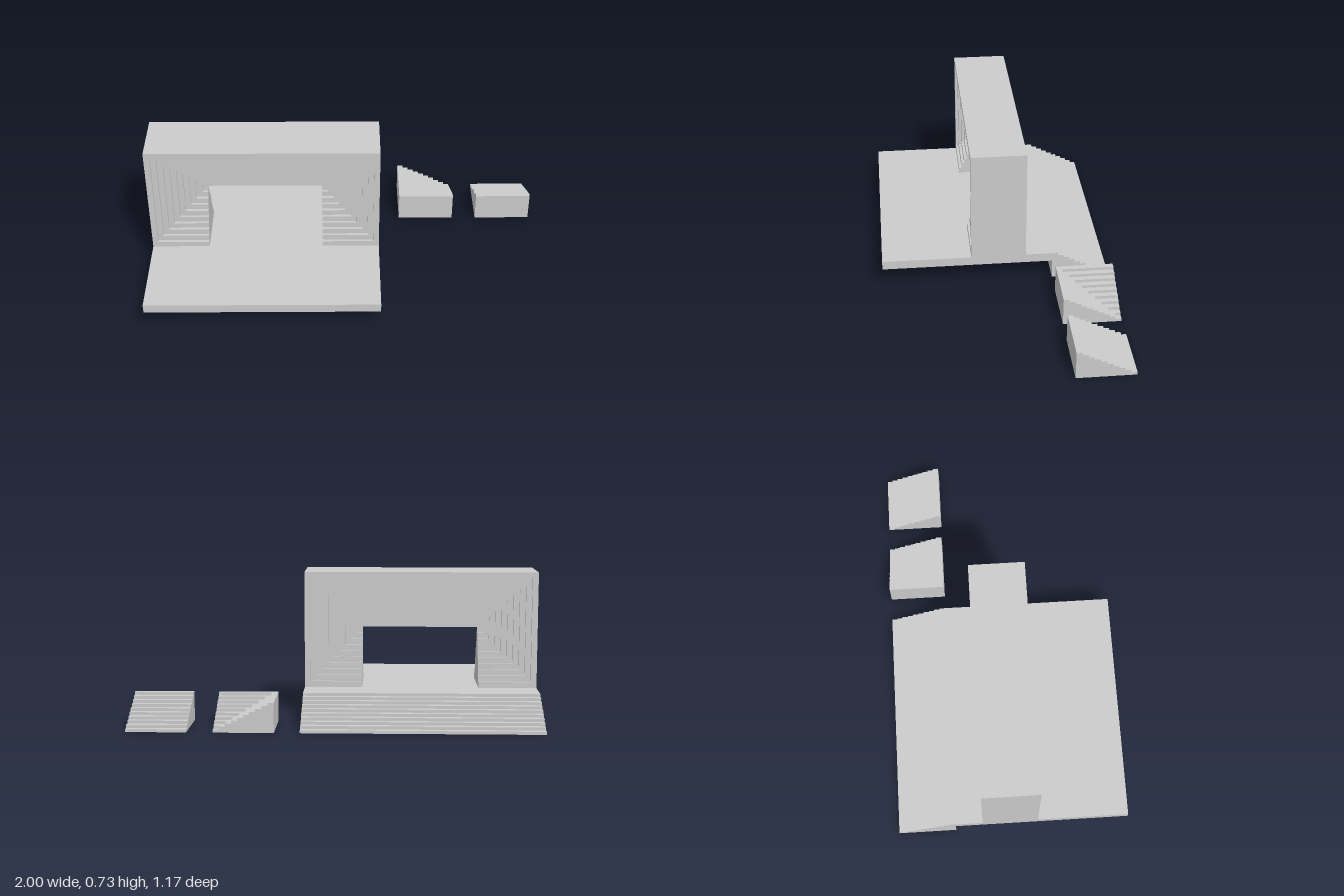
import * as THREE from 'three';

const S = 0.2917;          // module size
const N = 10;              // steps per module
const H = S / 2;           // stair height
const T = S / N;           // tread depth
const R = H / N;           // riser height
const material = new THREE.MeshStandardMaterial({ color: 0xcccccc, flatShading: true });
const shell = new THREE.MeshStandardMaterial({ color: 0xcccccc, flatShading: true, side: THREE.DoubleSide });

// Thin quads collected into one mesh; corners run counter-clockwise from outside
function quadMesh(name, build) {
  const pos = [];
  build((a, b, c, d) => pos.push(...a, ...b, ...c, ...a, ...c, ...d));
  const g = new THREE.BufferGeometry();
  g.setAttribute('position', new THREE.Float32BufferAttribute(pos, 3));
  g.computeVertexNormals();
  const mesh = new THREE.Mesh(g, shell);
  mesh.name = name;
  return mesh;
}

// Quads facing up, +x / -x and +z / -z
const flat = (q, x0, x1, z0, z1, y) => q([x0, y, z1], [x1, y, z1], [x1, y, z0], [x0, y, z0]);
const faceZ = (q, x0, x1, y0, y1, z, front) => front
  ? q([x0, y0, z], [x1, y0, z], [x1, y1, z], [x0, y1, z])
  : q([x1, y0, z], [x0, y0, z], [x0, y1, z], [x1, y1, z]);
const faceX = (q, z0, z1, y0, y1, x, left) => left
  ? q([x, y0, z1], [x, y0, z0], [x, y1, z0], [x, y1, z1])
  : q([x, y0, z0], [x, y0, z1], [x, y1, z1], [x, y1, z0]);

// Straight flight, hollow and open below, descending toward -z
function straightStair(name) {
  return quadMesh(name, q => {
    faceZ(q, 0, S, 0, H, 0, true);
    for (let k = 0; k < N; k++) {
      const a = -k * T, b = -(k + 1) * T, y = H - k * R;
      flat(q, 0, S, b, a, y);
      faceZ(q, 0, S, y - R, y, b, false);
      faceX(q, b, a, 0, y, S, true);
      faceX(q, b, a, 0, y, 0, false);
    }
  });
}

// Inside-corner flight, hollow, descending toward +x and -z
function cornerStair(name) {
  return quadMesh(name, q => {
    faceZ(q, 0, S, 0, H, 0, true);
    faceX(q, -S, 0, 0, H, 0, false);
    for (let k = 0; k < N; k++) {
      const a = k * T, b = (k + 1) * T, y = H - k * R;
      flat(q, a, S, -b, -a, y);
      faceX(q, -b, -a, 0, y, S, true);
      faceZ(q, a, b, 0, y, -S, false);
      if (k < N - 1) {
        flat(q, a, b, -S, -b, y);
        faceZ(q, b, S, y - R, y, -b, false);
        faceX(q, -S, -b, y - R, y, b, true);
      }
    }
  });
}

// Gateway outline k: out from the jamb edge, up, across and back (centred on x = 0)
function gatewayPath(k) {
  const d = k * T, x = 2 * S - d, top = 2 * S - d;
  return [[-S, d], [-x, d], [-x, top], [x, top], [x, d], [S, d]];
}

// Nested frames that get thinner toward the opening
function gateway() {
  const group = new THREE.Group();
  group.name = 'steppedGateway';
  for (let k = 0; k < N; k++) {
    const pts = [...gatewayPath(k), ...gatewayPath(k + 1).reverse()];
    // the last inner outline folds flat onto the edge of the opening
    const ring = k < N - 1 ? pts : [...gatewayPath(k)];
    if (k === N - 1) ring.push([S, S], [-S, S]);
    const shape = new THREE.Shape(ring.map(p => new THREE.Vector2(...p)));
    const half = 0.1405 - k * R;
    const g = new THREE.ExtrudeGeometry(shape, { depth: 2 * half, bevelEnabled: false });
    g.translate(0, 0, -half);
    const frame = new THREE.Mesh(g, material);
    frame.name = 'gatewayFrame' + (k + 1);
    group.add(frame);
  }
  return group;
}

export function createModel() {
  const model = new THREE.Group();
  model.name = 'steppedGatewaySet';
  const place = (o, x, y, z) => { o.position.set(x, y, z); model.add(o); };
  const centre = -1 + 2 * S;

  // Floor slab
  const slab = new THREE.Mesh(new THREE.BoxGeometry(4 * S, 0.0458, 3 * S), material);
  slab.name = 'floorSlab';
  place(slab, centre, H - 0.0229, S / 2);

  // Gateway standing on the slab
  place(gateway(), centre, H, -0.0135);

  // Back stairs made of four modules
  for (let i = 0; i < 4; i++) place(straightStair('backStair' + (i + 1)), -1 + i * S, 0, -S);

  // Loose modules beside the slab
  place(cornerStair('cornerStair'), 0.29, 0, -S);
  place(straightStair('looseStair'), 1 - S, 0, -S);
  return model;
}
